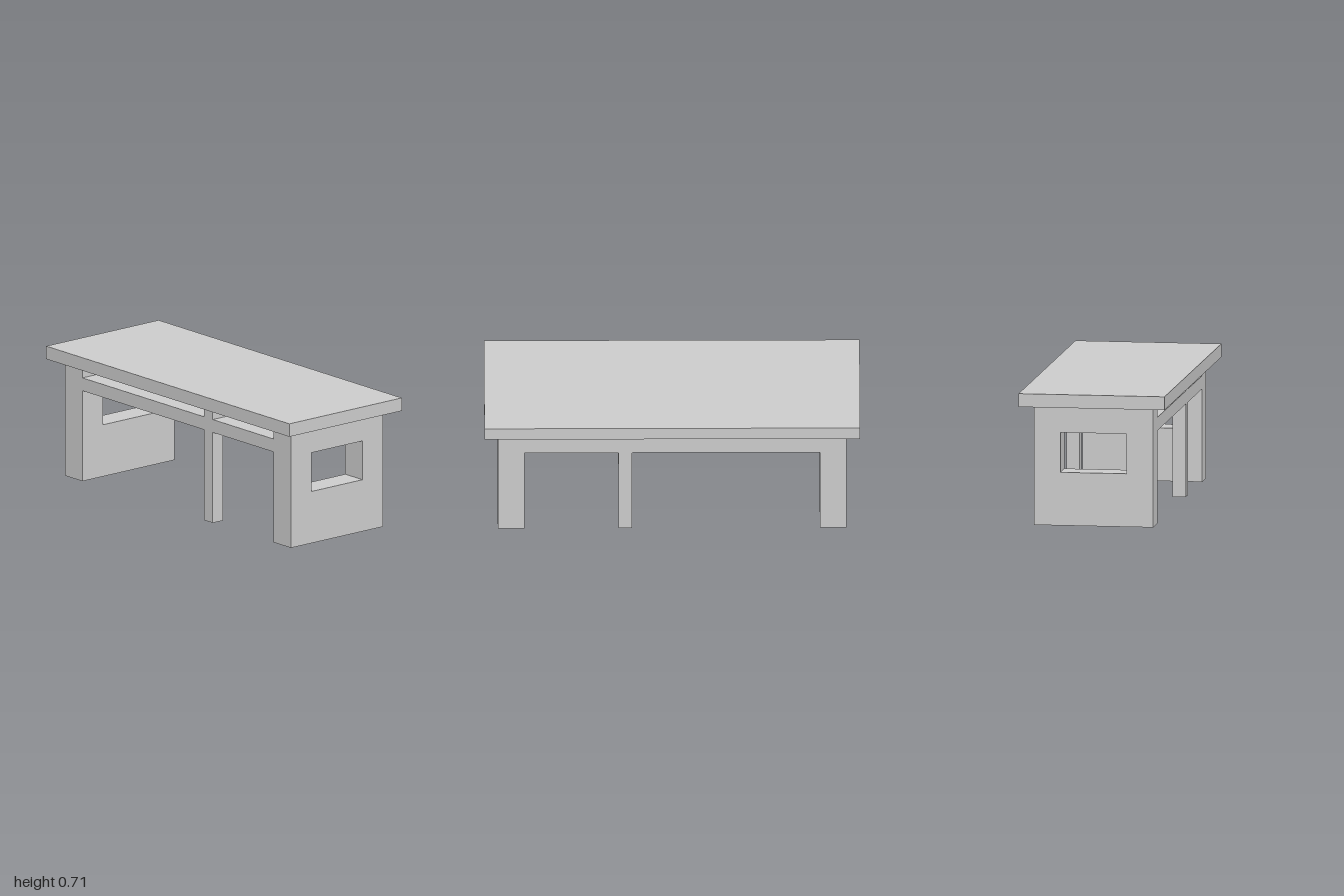
import * as THREE from 'three';

const U = 1 / 14; // one construction unit

export function createModel() {
  const desk = new THREE.Group();
  desk.name = 'desk';
  const material = new THREE.MeshStandardMaterial({ color: 0xcccccc, flatShading: true });

  const add = (name, geometry) => {
    const mesh = new THREE.Mesh(geometry, material);
    mesh.name = name;
    desk.add(mesh);
    return mesh;
  };

  // Box given by its limits along each axis, in units
  const box = (name, [x0, x1], [y0, y1], [z0, z1]) => {
    const mesh = add(name, new THREE.BoxGeometry((x1 - x0) * U, (y1 - y0) * U, (z1 - z0) * U));
    mesh.position.set((x0 + x1) / 2 * U, (y0 + y1) / 2 * U, (z0 + z1) / 2 * U);
  };

  // Overhanging top
  box('tableTop', [-14, 14], [9, 10], [-5.5, 5.5]);

  // Thick side panels with a rectangular window
  const rect = (Type, w, y0, y1) => new Type([[-w, y0], [w, y0], [w, y1], [-w, y1]]
    .map(([x, y]) => new THREE.Vector2(x * U, y * U)));
  const outline = rect(THREE.Shape, 4.5, 0, 9);
  outline.holes.push(rect(THREE.Path, 2.5, 4, 7));
  const panel = new THREE.ExtrudeGeometry(outline, { depth: 2 * U, bevelEnabled: false });
  panel.translate(0, 0, -U).rotateY(Math.PI / 2);
  for (const [name, side] of [['leftSidePanel', 1], ['rightSidePanel', -1]]) {
    add(name, panel).position.x = side * 12 * U;
  }

  // Shelf below the top, closed at the back and split into two front compartments
  box('shelf', [-11, 11], [7, 8], [-4.5, 4.5]);
  box('backPanel', [-11, 11], [8, 9], [-4.5, -3.5]);
  box('divider', [3, 4], [8, 9], [-3.5, 4.5]);

  // Slim legs under the divider
  box('frontLeg', [3, 4], [0, 7], [3.5, 4.5]);
  box('backLeg', [3, 4], [0, 7], [-4.5, -3.5]);

  return desk;
}
